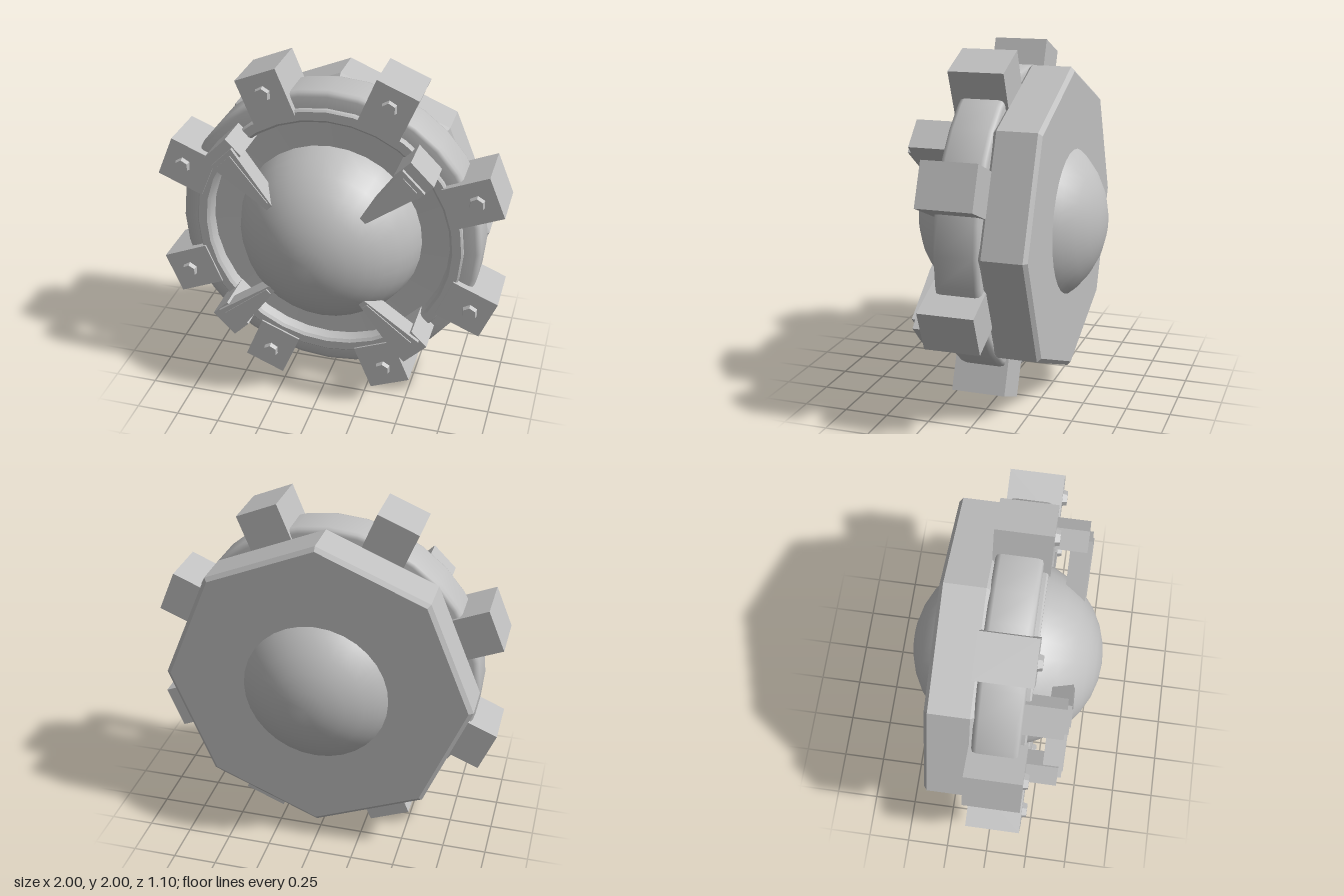
import * as THREE from 'three';
import { toCreasedNormals } from 'three/addons/utils/BufferGeometryUtils.js';

const metal = new THREE.MeshStandardMaterial({ color: 0xc0c0c0 });
metal.name = 'light grey';

function add(parent, name, geometry) {
  const mesh = new THREE.Mesh(geometry, metal);
  mesh.name = name;
  parent.add(mesh);
  return mesh;
}

// Profile of [radius, z] pairs, listed from back to front, spun about z
function spin(profile, sides, crease) {
  const g = new THREE.LatheGeometry(profile.map(([r, z]) => new THREE.Vector2(r, z)), sides);
  g.rotateX(Math.PI / 2);
  return toCreasedNormals(g, crease);
}

// Side profile of [radius, z] pairs, extruded sideways and narrowed towards the tip
function taper(profile, widthAt) {
  const shape = new THREE.Shape(profile.map(([r, z]) => new THREE.Vector2(r, z)));
  const g = new THREE.ExtrudeGeometry(shape, { depth: 1, bevelEnabled: false });
  g.translate(0, 0, -0.5);
  const p = g.attributes.position;
  for (let i = 0; i < p.count; i++) p.setZ(i, p.getZ(i) * widthAt(p.getX(i)));
  g.rotateX(Math.PI / 2);
  g.computeVertexNormals();
  return g;
}

export function createModel() {
  const model = new THREE.Group();
  model.name = 'roundDevice';
  const body = new THREE.Group();
  body.name = 'body';
  body.position.y = 1;
  model.add(body);

  // Central ball, poking out at both the front and the back
  const ball = new THREE.SphereGeometry(0.55, 32, 16);
  ball.rotateX(Math.PI / 2);
  add(body, 'ball', ball);

  // Eight-sided back housing with a narrow bevel
  add(body, 'backHousing', spin(
    [[0, -0.355], [0.86, -0.355], [0.885, -0.335], [0.885, -0.11], [0.865, -0.09], [0, -0.09]], 8, 0.3));

  // Round outer ring with softened corners
  add(body, 'outerRing', spin(
    [[0.6, -0.095], [0.85, -0.095], [0.872, -0.087], [0.88, -0.065], [0.88, 0.13],
      [0.872, 0.152], [0.85, 0.16], [0.74, 0.16]], 32, 0.9));

  // Raised inner rim, falling to the recessed dish around the ball
  add(body, 'innerRimAndDish', spin(
    [[0.785, 0.1], [0.785, 0.18], [0.775, 0.19], [0.725, 0.19], [0.71, 0.175], [0.7, 0.115], [0.45, 0.11]], 32, 0.6));

  // Eight clamp blocks, each with a hexagonal bolt
  for (let i = 0; i < 8; i++) {
    const a = (i + 0.5) * Math.PI / 4;
    const block = add(body, 'clampBlock', new THREE.BoxGeometry(0.28, 0.25, 0.312));
    block.position.set(Math.cos(a) * 0.89, Math.sin(a) * 0.89, 0.045);
    block.rotation.z = a;

    const boltShape = new THREE.CylinderGeometry(0.04, 0.048, 0.03, 6).toNonIndexed();
    boltShape.computeVertexNormals();
    boltShape.rotateX(Math.PI / 2);
    const bolt = add(body, 'bolt', boltShape);
    bolt.position.set(Math.cos(a) * 0.915, Math.sin(a) * 0.915, 0.213);
  }

  // Four claws on brackets, reaching inwards to grip the ball
  const clawWidth = r => 0.035 + (r - 0.35) * 0.34;
  for (let i = 0; i < 4; i++) {
    const claw = new THREE.Group();
    claw.name = 'claw';
    claw.rotation.z = (i + 0.5) * Math.PI / 2;
    body.add(claw);

    const bracket = add(claw, 'clawBracket', new THREE.BoxGeometry(0.125, 0.18, 0.27));
    bracket.position.set(0.75, 0, 0.245);
    add(claw, 'clawHook', taper(
      [[0.35, 0.402], [0.47, 0.285], [0.7, 0.285], [0.7, 0.375], [0.755, 0.375], [0.755, 0.402]], clawWidth));
    add(claw, 'clawInset', taper(
      [[0.4, 0.4], [0.73, 0.4], [0.73, 0.409], [0.4, 0.409]], r => clawWidth(r) * 0.65));
  }
  return model;
}
